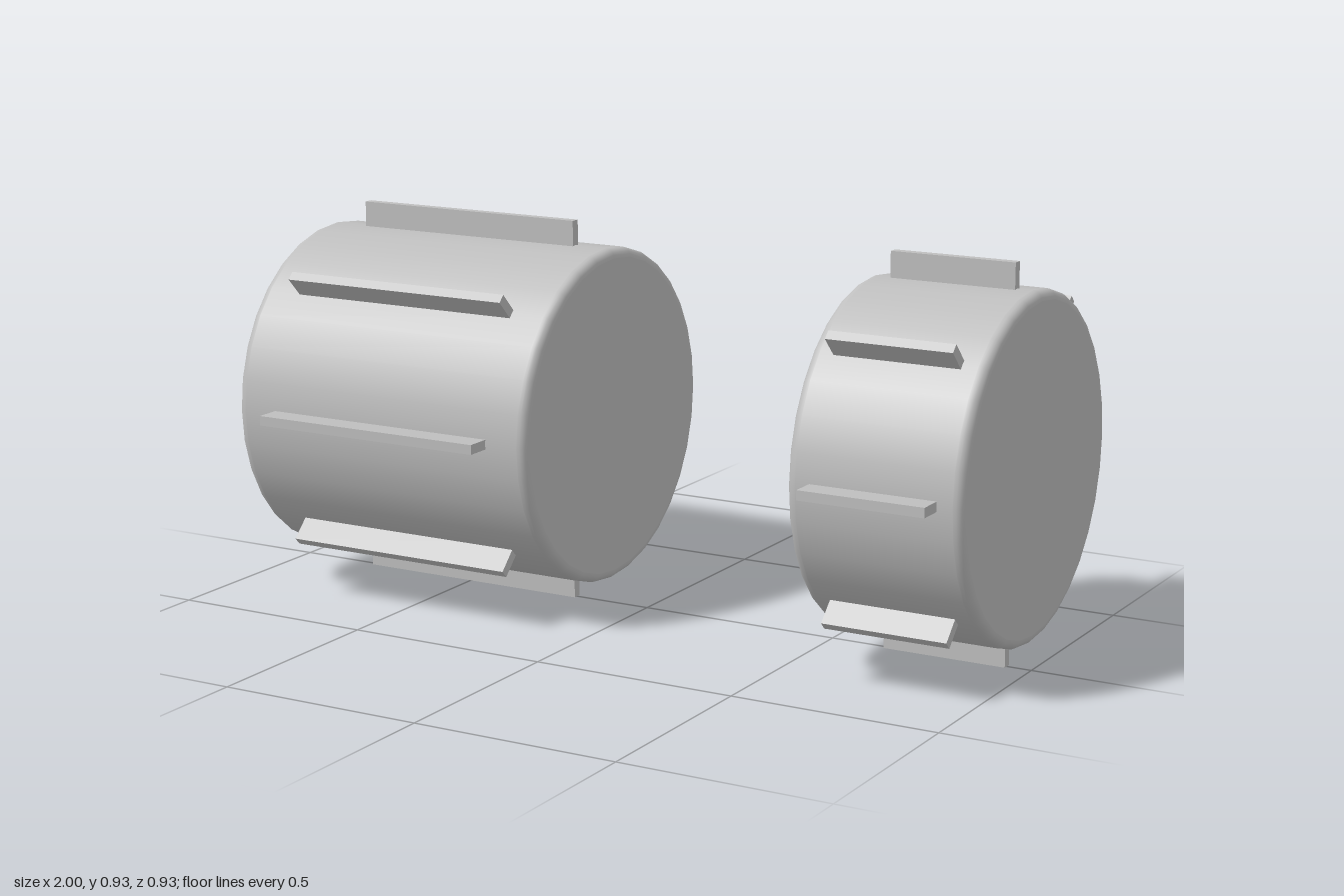
import * as THREE from 'three';

const RADIUS = 0.405, FILLET = 0.022, AXIS_Y = 0.465, FIN_TIP = 0.465;

// Solid drum along x with softly rounded rims
function drumGeometry(x0, x1) {
  const half = (x1 - x0) / 2, inner = RADIUS - FILLET, e = 0.001;
  const upper = [];
  for (let i = 0; i <= 5; i++) {
    const a = (i / 5) * Math.PI / 2;
    upper.push([inner + FILLET * Math.cos(a), half - FILLET + FILLET * Math.sin(a)]);
  }
  // extra loops keep the wall and the end faces flat
  upper.unshift([RADIUS, half - FILLET - e]);
  upper.push([inner - e, half], [0, half]);
  const lower = upper.map(([r, y]) => [r, -y]).reverse();
  const profile = [...lower, ...upper].map(([r, y]) => new THREE.Vector2(r, y));
  return new THREE.LatheGeometry(profile, 32).rotateZ(-Math.PI / 2).translate((x0 + x1) / 2, 0, 0);
}

export function createModel() {
  const grey = new THREE.MeshStandardMaterial({ color: 0xbebebe });
  grey.name = 'grey metal';
  const model = new THREE.Group();
  model.name = 'motorCanAndCap';

  const add = (parent, geometry, name) => {
    const mesh = new THREE.Mesh(geometry, grey);
    mesh.name = name;
    parent.add(mesh);
    return mesh;
  };

  // Drum with eight radial fins
  const addDrum = (name, x0, x1, fin0, fin1) => {
    const group = new THREE.Group();
    group.name = name;
    group.position.y = AXIS_Y;
    add(group, drumGeometry(x0, x1), name + 'Body');
    const root = 0.385;
    for (let i = 0; i < 8; i++) {
      const fin = new THREE.BoxGeometry(fin1 - fin0, FIN_TIP - root, 0.023)
        .translate((fin0 + fin1) / 2, (FIN_TIP + root) / 2, 0);
      add(group, fin, name + 'Fin').rotation.x = i * Math.PI / 4;
    }
    model.add(group);
    return group;
  };

  const longDrum = addDrum('longDrum', -0.905, -0.09, -0.795, -0.197);
  addDrum('shortDrum', 0.58, 1, 0.637, 0.94);

  // Stub shaft on the outer end of the long drum
  add(longDrum, new THREE.CylinderGeometry(0.097, 0.097, 0.12, 32)
    .rotateZ(Math.PI / 2).translate(-0.94, 0, 0), 'stubShaft');

  return model;
}
